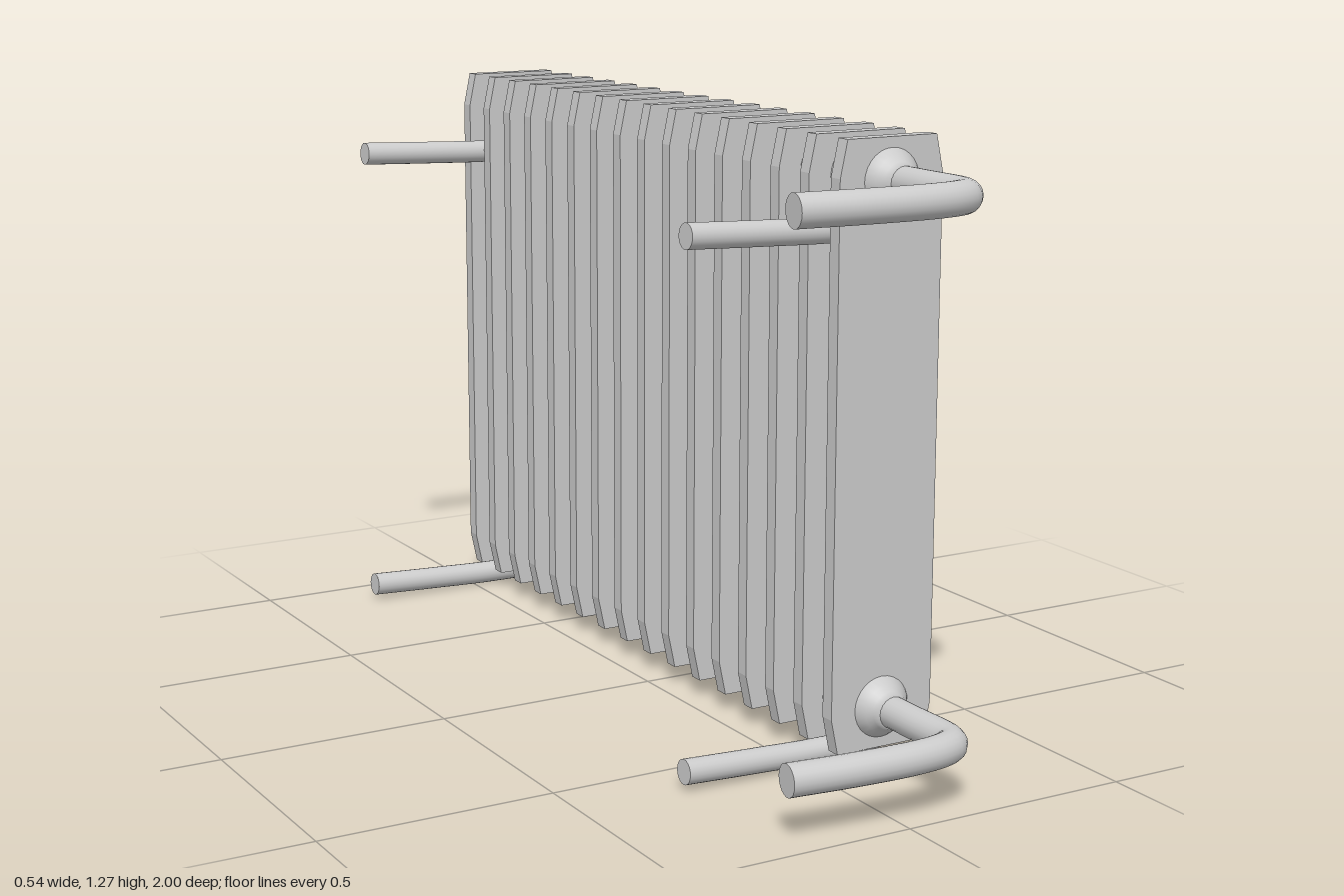
import * as THREE from 'three';

const FINS = 16, FIRST_Z = 0.675, PITCH = 0.1073, THICK = 0.032;
const LAST_Z = FIRST_Z - (FINS - 1) * PITCH;
const CX = 0.146, PIPE_Y = [0.127, 1.19];
const material = new THREE.MeshStandardMaterial({ color: 0xcccccc });

function add(parent, name, geometry) {
  const mesh = new THREE.Mesh(geometry, material);
  mesh.name = name;
  parent.add(mesh);
  return mesh;
}

// Smooth rod through the points, closed with discs at both ends
function addRod(parent, name, points, radius) {
  const curve = new THREE.CatmullRomCurve3(points.map(p => new THREE.Vector3(...p)), false, 'centripetal');
  const rod = new THREE.Group();
  rod.name = name;
  add(rod, 'rod', new THREE.TubeGeometry(curve, 48, radius, 20));
  for (const t of [0, 1]) {
    const cap = add(rod, 'rodEnd', new THREE.CircleGeometry(radius, 20));
    const out = curve.getTangent(t).multiplyScalar(t ? 1 : -1);
    cap.quaternion.setFromUnitVectors(new THREE.Vector3(0, 0, 1), out);
    cap.position.copy(curve.getPoint(t));
  }
  parent.add(rod);
}

// Flat plate with long chamfers at its four corners
function finGeometry() {
  const w = 0.12, wEnd = 0.104, y0 = 0.042, y1 = 1.275, c = 0.075;
  const outline = [[-wEnd, y0], [wEnd, y0], [w, y0 + c], [w, y1 - c], [wEnd, y1], [-wEnd, y1], [-w, y1 - c], [-w, y0 + c]];
  const shape = new THREE.Shape(outline.map(([x, y]) => new THREE.Vector2(x, y)));
  return new THREE.ExtrudeGeometry(shape, { depth: THICK, bevelEnabled: false }).translate(0, 0, -THICK / 2);
}

// Waisted header: a concave neck between each pair of fins, flared ends
function headerGeometry() {
  const profile = [[0, -1], [0.033, -1], [0.033, -0.988], [0.04, -0.975], [0.05, -0.963], [0.064, LAST_Z - THICK / 2]];
  const gap = PITCH - THICK, steps = 10;
  for (let i = 0; i < FINS - 1; i++) {
    const z = LAST_Z + i * PITCH + THICK / 2;
    for (let k = 0; k <= steps; k++) {
      const t = k / steps;
      profile.push([0.07 - 0.017 * Math.sin(Math.PI * t), z + gap * t]);
    }
  }
  const zf = FIRST_Z + THICK / 2;
  profile.push([0.064, zf], [0.05, zf + 0.018], [0.04, zf + 0.03], [0.032, zf + 0.045], [0, zf + 0.045]);
  return new THREE.LatheGeometry(profile.map(([r, z]) => new THREE.Vector2(r, z)), 28).rotateX(Math.PI / 2);
}

export function createModel() {
  const model = new THREE.Group();
  model.name = 'radiator';

  const fin = finGeometry();
  for (let i = 0; i < FINS; i++) {
    add(model, 'fin', fin).position.set(CX, 0, FIRST_Z - i * PITCH);
  }

  const header = headerGeometry();
  for (const y of PIPE_Y) {
    add(model, 'header', header).position.set(CX, y, 0);

    // Supply pipe leaving the front and turning towards the wall
    addRod(model, 'supplyPipe', [
      [CX, y, 0.7], [CX, y, 0.8], [CX, y, 0.915], [CX - 0.012, y, 0.942], [CX - 0.045, y, 0.958],
      [0.03, y, 0.967], [-0.1, y, 0.962], [-0.245, y, 0.947],
    ], 0.033);

    // Wall hooks passing under the header and up its far side
    const d = y - PIPE_Y[0];
    for (const z of [0.615, -0.883]) {
      addRod(model, 'wallHook', [
        [-0.27, 0.04 + d, z], [-0.1, 0.033 + d, z], [0.06, 0.028 + d, z], [0.17, 0.032 + d, z],
        [0.205, 0.046 + d, z], [0.22, 0.08 + d, z], [0.221, 0.13 + d, z], [0.221, 0.19 + d, z],
      ], 0.026);
    }
  }
  return model;
}
